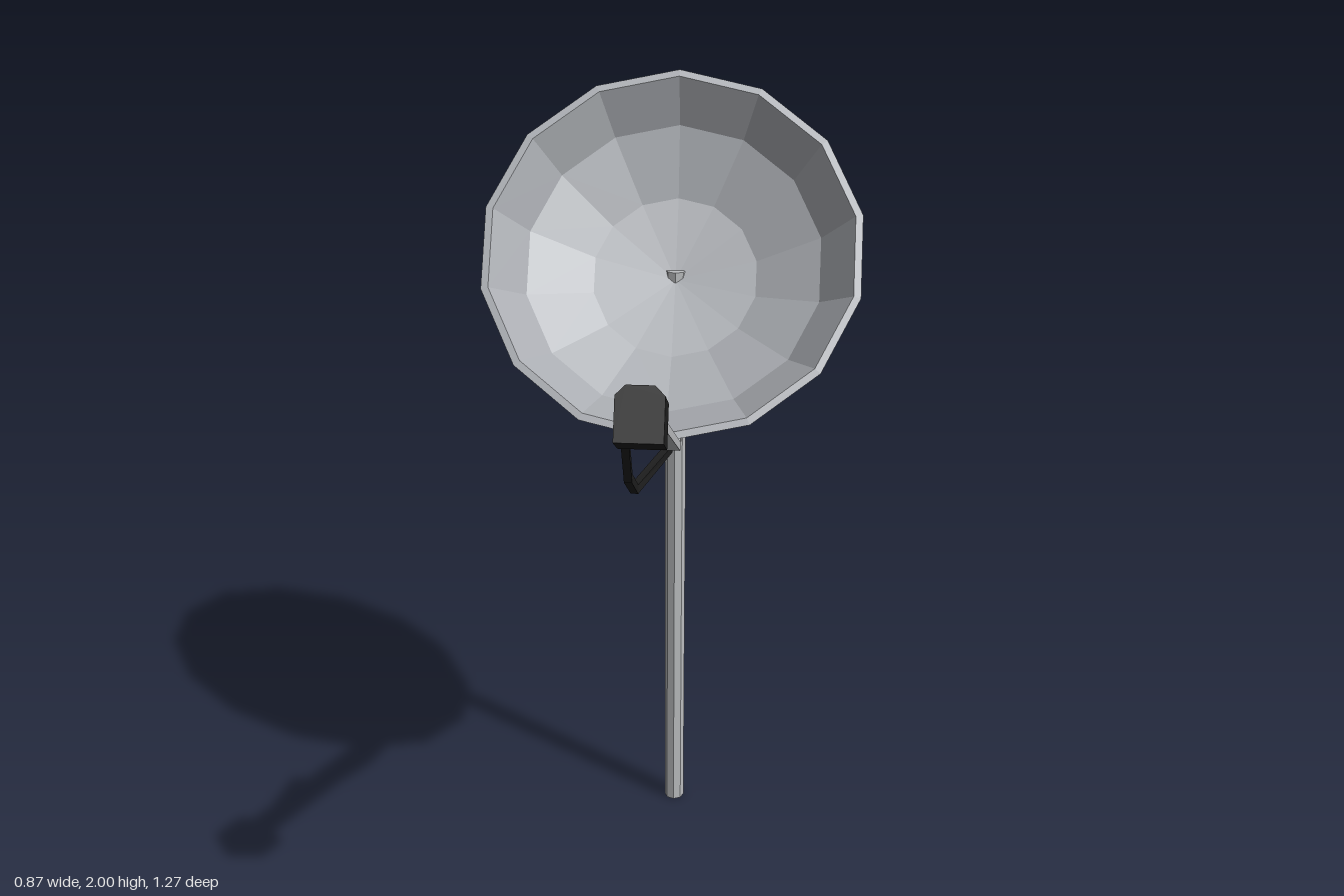
import * as THREE from 'three';

const material = (name, color) => {
  const m = new THREE.MeshStandardMaterial({ color });
  m.name = name;
  m.flatShading = true;
  return m;
};

// Rectangular bar swept along a polyline with mitred corners.
function sweepBar(path, width, height) {
  const pts = path.map((p) => new THREE.Vector3(...p));
  const dir = (i) => pts[i + 1].clone().sub(pts[i]).normalize();
  const last = pts.length - 1;
  const positions = [];
  const index = [];
  pts.forEach((p, i) => {
    const before = dir(Math.max(i - 1, 0));
    const after = dir(Math.min(i, last - 1));
    const t = before.clone().add(after).normalize();
    const miter = 1 / t.dot(after);
    const side = new THREE.Vector3(1, 0, 0).addScaledVector(t, -t.x).normalize();
    const up = t.clone().cross(side);
    for (const [a, b] of [[1, 1], [-1, 1], [-1, -1], [1, -1]]) {
      const v = p.clone()
        .addScaledVector(side, (a * width) / 2)
        .addScaledVector(up, (b * height * miter) / 2);
      positions.push(v.x, v.y, v.z);
    }
    if (i === last) return;
    for (let k = 0; k < 4; k++) {
      const a = i * 4 + k;
      const b = i * 4 + ((k + 1) % 4);
      index.push(a, b, b + 4, a, b + 4, a + 4);
    }
  });
  const e = last * 4;
  index.push(0, 2, 1, 0, 3, 2, e, e + 1, e + 2, e, e + 2, e + 3);
  const g = new THREE.BufferGeometry();
  g.setAttribute('position', new THREE.Float32BufferAttribute(positions, 3));
  g.setIndex(index);
  const flat = g.toNonIndexed();
  flat.computeVertexNormals();
  return flat;
}

export function createModel() {
  const group = new THREE.Group();
  const dishGrey = material('dish grey', 0xabaeb3);
  const metal = material('light metal', 0xbcbec0);
  const black = material('black plastic', 0x1e1e1e);

  const add = (name, geometry, mat) => {
    const mesh = new THREE.Mesh(geometry, mat);
    mesh.name = name;
    group.add(mesh);
    return mesh;
  };

  // Reflector: thin faceted bowl, tilted up and forward
  const profile = [
    [0, -0.215], [0.205, -0.191], [0.366, -0.106], [0.4475, 0],
    [0.43, 0.002], [0.352, -0.098], [0.198, -0.174], [0, -0.195],
  ].map(([r, y]) => new THREE.Vector2(r, y));
  const dish = add('dish', new THREE.LatheGeometry(profile, 14), dishGrey);
  dish.position.set(0, 1.655, -0.315);
  dish.rotation.x = 0.88;

  // Upright mast
  const mast = add('mast', new THREE.CylinderGeometry(0.026, 0.026, 1.55, 8), metal);
  mast.position.set(0, 0.775, -0.485);

  // Flat bent arm from mast to receiver
  add('arm', sweepBar([
    [0, 1.45, -0.475], [0, 1.33, -0.31], [0, 1.29, -0.05], [0, 1.615, 0.515],
  ], 0.076, 0.02), metal);

  // Drooping cable
  add('cable', sweepBar([
    [0, 1.51, -0.457], [0, 1.385, -0.457], [0, 1.29, -0.38], [0, 1.2, -0.22],
    [-0.065, 1.19, -0.025], [-0.065, 1.295, 0.13], [-0.065, 1.45, 0.215],
    [-0.012, 1.545, 0.335], [0, 1.615, 0.51],
  ], 0.018, 0.02), black);

  // Receiver block with chamfered top corners
  const w = 0.048;
  const h = 0.055;
  const c = 0.02;
  const outline = new THREE.Shape([
    [-w, -h], [w, -h], [w, h - c], [w - c, h], [c - w, h], [-w, h - c],
  ].map(([x, y]) => new THREE.Vector2(x, y)));
  const block = new THREE.ExtrudeGeometry(outline, { depth: 0.108, bevelEnabled: false });
  block.translate(0, 0, -0.054);
  const receiver = add('receiver', block, black);
  receiver.position.set(0, 1.645, 0.565);
  receiver.rotation.x = -0.55;

  return group;
}
